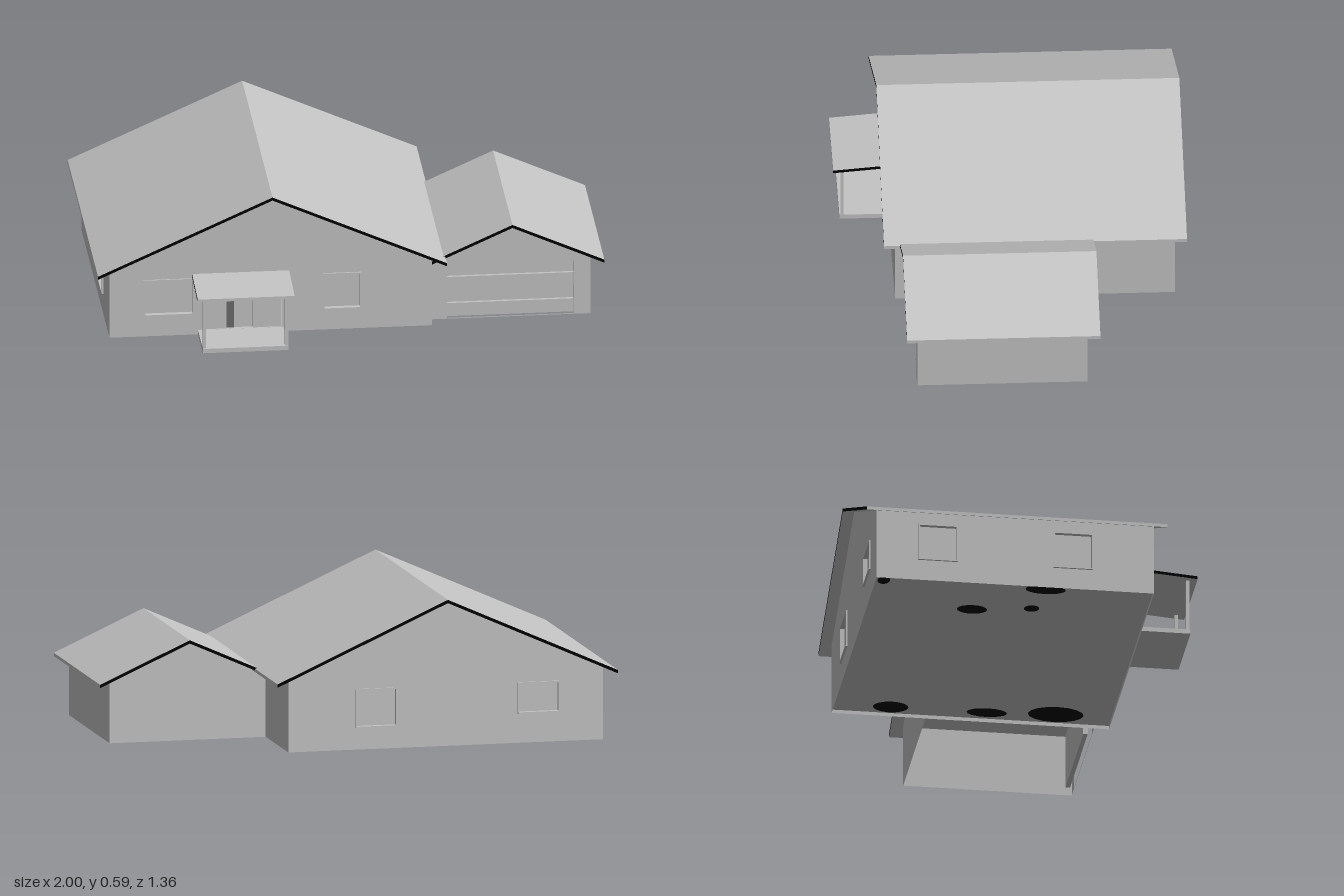
import * as THREE from 'three';

const SLOPE = 0.448, ROOF = 0.013;
const make = (name, color, side = THREE.FrontSide) => {
  const m = new THREE.MeshStandardMaterial({ color, side });
  m.name = name;
  return m;
};

export function createModel() {
  const house = new THREE.Group();
  house.name = 'house';
  const grey = make('grey', 0xc4c4c4, THREE.DoubleSide);
  const black = make('black trim', 0x000000);
  const dark = make('dark opening', 0x6c6c6c);

  const add = (name, geo, mat, x = 0, y = 0, z = 0, parent = house) => {
    const m = new THREE.Mesh(geo, mat);
    m.name = name;
    m.position.set(x, y, z);
    parent.add(m);
    return m;
  };
  // box given by its limits
  const box = (name, x0, x1, y0, y1, z0, z1, parent = house, mat = grey) =>
    add(name, new THREE.BoxGeometry(x1 - x0, y1 - y0, z1 - z0), mat,
      (x0 + x1) / 2, (y0 + y1) / 2, (z0 + z1) / 2, parent);
  const points = pts => pts.map(p => new THREE.Vector2(...p));
  const shape = pts => new THREE.Shape(points(pts));

  // gabled roof: chevron run along z, with black rakes
  function roof(name, ridgeX, ridgeY, half, z0, z1) {
    const drop = half * SLOPE;
    const s = shape([
      [-half, -drop - ROOF], [0, -ROOF], [half, -drop - ROOF],
      [half, -drop], [0, 0], [-half, -drop],
    ]);
    const g = new THREE.ExtrudeGeometry(s, { depth: z1 - z0, bevelEnabled: false });
    add(name, g, [black, grey], ridgeX, ridgeY, z0);
  }

  // frame around an opening, recessed pane and sill
  function fillWindow(g, [x0, x1, y0, y1]) {
    const f = 0.006, back = -0.015, front = 0.006;
    box('frameLeft', x0 - f, x0, y0 - f, y1 + f, back, front, g);
    box('frameRight', x1, x1 + f, y0 - f, y1 + f, back, front, g);
    box('frameTop', x0, x1, y1, y1 + f, back, front, g);
    box('frameBottom', x0, x1, y0 - f, y0, back, front, g);
    box('pane', x0, x1, y0, y1, back, back + 0.003, g);
    box('sill', x0 - 0.003, x1 + 0.003, y0 - 0.006, y0, 0, 0.008, g);
  }

  // recessed garage door: four slats stepping in and out
  function fillGarageDoor(g, [x0, x1, y0, y1]) {
    const step = (y1 - y0) / 4;
    for (let i = 0; i < 4; i++) {
      const front = i % 2 ? -0.028 : -0.016;
      box('doorSlat', x0, x1, y0 + i * step, y0 + (i + 1) * step, -0.034, front, g);
    }
  }

  // sliding door: fixed panes, a pane set further back and a dark gap
  function fillSlidingDoor(g, [x0, x1, y0, y1]) {
    box('leftPane', x0, -0.488, y0, y1, -0.02, -0.006, g);
    box('doorGap', -0.488, -0.458, y0, y1, -0.02, -0.014, g, dark);
    box('slidingPane', -0.458, -0.385, y0, y1, -0.02, -0.016, g);
    box('rightPane', -0.385, x1, y0, y1, -0.02, -0.006, g);
  }

  // flat wall with openings, drawn facing +z and turned into place
  function wall(name, outline, x, z, turn, openings = []) {
    const g = new THREE.Group();
    g.name = name;
    const s = shape(outline);
    for (const { at: [x0, x1, y0, y1], fill } of openings) {
      s.holes.push(new THREE.Path(points([[x0, y0], [x0, y1], [x1, y1], [x1, y0]])));
      fill(g, [x0, x1, y0, y1]);
    }
    add('wallFace', new THREE.ShapeGeometry(s), grey, 0, 0, 0, g);
    g.position.set(x, 0, z);
    g.rotation.y = turn;
    house.add(g);
  }

  // four walls under a gabled roof, open underneath
  function walls(name, x0, x1, z0, z1, ridgeX, ridgeY, { front, back, left }) {
    const top = x => ridgeY - ROOF - Math.abs(x - ridgeX) * SLOPE;
    const gable = [[x0, 0], [x1, 0], [x1, top(x1)], [ridgeX, top(ridgeX)], [x0, top(x0)]];
    const side = (a, b, h) => [[a, 0], [b, 0], [b, h], [a, h]];
    wall(name + 'Front', gable, 0, z1, 0, front);
    wall(name + 'Back', gable.map(([x, y]) => [-x, y]), 0, z0, Math.PI, back);
    wall(name + 'WestSide', side(z0, z1, top(x0)), x0, 0, -Math.PI / 2, left);
    wall(name + 'EastSide', side(-z1, -z0, top(x1)), x1, 0, Math.PI / 2);
  }
  const win = (...at) => ({ at, fill: fillWindow });

  // main house
  walls('main', -0.95, 0.32, -0.635, 0.462, -0.313, 0.588, {
    front: [
      win(-0.81, -0.624, 0.092, 0.233),
      win(-0.104, 0.036, 0.092, 0.233),
      { at: [-0.59, -0.272, 0.018, 0.235], fill: fillSlidingDoor },
    ],
    back: [win(-0.044, 0.114, 0.092, 0.235), win(0.611, 0.769, 0.122, 0.235)],
    left: [win(-0.465, -0.32, 0.092, 0.235), win(0.07, 0.215, 0.092, 0.235)],
  });
  roof('mainRoof', -0.313, 0.588, 0.687, -0.68, 0.508);

  // floor with dark patches on its underside: x, z, half width, half depth
  box('floor', -0.949, 0.319, 0.014, 0.018, -0.634, 0.461);
  const patches = [
    [0.24, 0.24, 0.07, 0.11], [0.26, -0.03, 0.04, 0.08], [0.26, -0.41, 0.05, 0.07],
    [-0.68, -0.22, 0.04, 0.06], [-0.9, 0.04, 0.04, 0.08], [-0.9, -0.6, 0.035, 0.025],
    [-0.72, 0.01, 0.03, 0.03],
  ];
  for (const [x, z, w, d] of patches) {
    const patch = add('floorPatch', new THREE.CircleGeometry(1, 16), black, x, 0.0125, z);
    patch.rotation.x = Math.PI / 2;
    patch.scale.set(w, d, 1);
  }

  // garage
  walls('garage', 0.321, 0.949, -0.264, 0.403, 0.638, 0.405, {
    front: [{ at: [0.384, 0.884, 0.004, 0.226], fill: fillGarageDoor }],
  });
  roof('garageRoof', 0.638, 0.405, 0.362, -0.313, 0.445);

  // porch: slab, posts and sloping roof
  box('porchSlab', -0.602, -0.265, 0, 0.018, 0.462, 0.655);
  for (const x of [-0.602, -0.278])
    box('porchPost', x, x + 0.013, 0.018, 0.23, 0.638, 0.651);
  const slab = shape([[-0.68, 0.227], [-0.462, 0.245], [-0.462, 0.257], [-0.68, 0.239]]);
  const porch = new THREE.ExtrudeGeometry(slab, { depth: 0.382, bevelEnabled: false });
  add('porchRoof', porch, [black, grey], -0.625, 0, 0).rotation.y = Math.PI / 2;

  return house;
}
